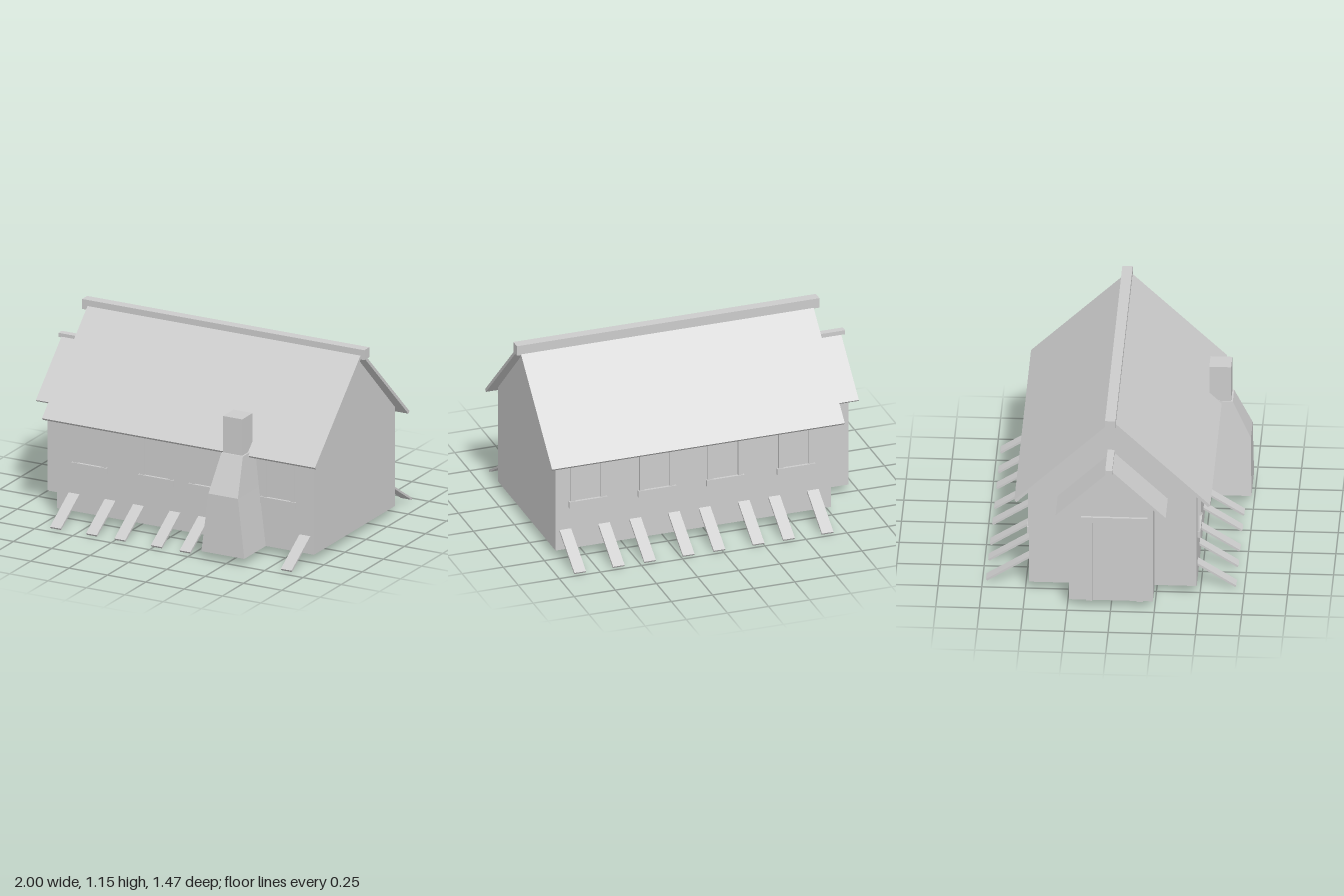
import * as THREE from 'three';

const grey = new THREE.MeshStandardMaterial({ color: 0xcccccc, flatShading: true, side: THREE.DoubleSide });

export function createModel() {
  const model = new THREE.Group();

  const add = (name, geometry) => {
    const mesh = new THREE.Mesh(geometry, grey);
    mesh.name = name;
    model.add(mesh);
    return mesh;
  };

  // Box given by its extents on each axis
  const box = (name, x0, x1, y0, y1, z0, z1) =>
    add(name, new THREE.BoxGeometry(x1 - x0, y1 - y0, z1 - z0)
      .translate((x0 + x1) / 2, (y0 + y1) / 2, (z0 + z1) / 2));

  // Flat board spanning x0..x1, running from (za, ya) to (zb, yb)
  const board = (name, x0, x1, [za, ya], [zb, yb], thickness) => {
    const mesh = add(name, new THREE.BoxGeometry(x1 - x0, thickness, Math.hypot(zb - za, yb - ya)));
    mesh.rotation.x = Math.atan2(ya - yb, zb - za);
    mesh.position.set((x0 + x1) / 2, (ya + yb) / 2, (za + zb) / 2);
  };

  // Thin walls with no floor: a pentagon gable at each listed x, and two sides
  const walls = (name, x0, x1, gables, half, base, eave, apex) => {
    const shape = new THREE.Shape([[-half, base], [half, base], [half, eave], [0, apex], [-half, eave]]
      .map(([a, b]) => new THREE.Vector2(a, b)));
    for (const x of gables) {
      add(name + 'Gable', new THREE.ShapeGeometry(shape).rotateY(x < 0 ? -Math.PI / 2 : Math.PI / 2).translate(x, 0, 0));
    }
    for (const s of [-1, 1]) {
      const side = new THREE.PlaneGeometry(x1 - x0, eave - base);
      if (s < 0) side.rotateY(Math.PI);
      add(name + 'SideWall', side.translate((x0 + x1) / 2, (base + eave) / 2, s * half));
    }
  };

  // Loft through rectangular rings [y, x0, x1, z0, z1], closed on top
  const loft = (name, rings) => {
    const pos = [], index = [];
    for (const [y, x0, x1, z0, z1] of rings) pos.push(x0, y, z1, x1, y, z1, x1, y, z0, x0, y, z0);
    for (let r = 0; r < rings.length - 1; r++) {
      for (let i = 0; i < 4; i++) {
        const a = r * 4 + i, b = r * 4 + (i + 1) % 4;
        index.push(a, b, b + 4, a, b + 4, a + 4);
      }
    }
    const t = (rings.length - 1) * 4;
    index.push(t, t + 1, t + 2, t, t + 2, t + 3);
    const geometry = new THREE.BufferGeometry();
    geometry.setAttribute('position', new THREE.Float32BufferAttribute(pos, 3));
    geometry.setIndex(index);
    geometry.computeVertexNormals();
    add(name, geometry);
  };

  // Main house and entrance porch
  walls('house', -0.75, 0.925, [-0.75, 0.925], 0.48, 0.045, 0.645, 1.11);
  walls('porch', -0.945, -0.75, [-0.945], 0.24, 0.045, 0.655, 0.885);

  // Roofs and ridge beams
  for (const s of [-1, 1]) {
    board('roofSlope', -0.805, 0.975, [0, 1.125], [s * 0.555, 0.598], 0.018);
    board('porchRoofSlope', -0.98, -0.75, [0, 0.9], [s * 0.31, 0.605], 0.014);
  }
  box('ridgeBeam', -0.84, 1, 1.095, 1.155, -0.04, 0.02);
  box('porchRidgeBeam', -1, -0.75, 0.895, 0.92, -0.03, 0.01);

  // Window frames through the front and back walls
  const windows = { 1: [-0.535, -0.1, 0.228, 0.695], '-1': [-0.535, -0.105, 0.31, 0.73] };
  for (const s of [-1, 1]) {
    for (const x of windows[s]) {
      const part = (name, x0, x1, y0, y1, out) =>
        box(name, x + x0, x + x1, y0, y1, s * 0.48 - out, s * 0.48 + out);
      part('windowSill', -0.115, 0.115, 0.305, 0.345, 0.016);
      part('windowLintel', -0.115, 0.115, 0.578, 0.615, 0.016);
      for (const m of [-1, 1]) part('windowPost', m * 0.092 - 0.014, m * 0.092 + 0.014, 0.345, 0.578, 0.01);
    }
  }

  // Door frame on the porch end
  for (const z of [-0.125, 0.165]) box('doorPost', -0.957, -0.933, 0.045, 0.555, z - 0.018, z + 0.018);
  box('doorLintel', -0.962, -0.928, 0.555, 0.59, -0.17, 0.21);

  // Sloping ground planks passing through the walls
  const plankXs = [-0.64, -0.405, -0.22, 0.018, 0.205, 0.44, 0.63, 0.865];
  for (const x of plankXs) {
    board('backPlank', x - 0.035, x + 0.035, [-0.38, 0.228], [-0.727, 0.008], 0.012);
    if (x < 0.4 || x > 0.7) board('frontPlank', x - 0.035, x + 0.035, [0.35, 0.228], [0.7, 0.008], 0.012);
  }

  // Chimney: tapered base and square stack
  loft('chimneyBase', [
    [0.045, 0.33, 0.61, 0.48, 0.735],
    [0.4, 0.373, 0.565, 0.48, 0.73],
    [0.62, 0.4, 0.54, 0.48, 0.625],
  ]);
  box('chimneyStack', 0.405, 0.53, 0.6, 0.84, 0.49, 0.615);

  return model;
}
